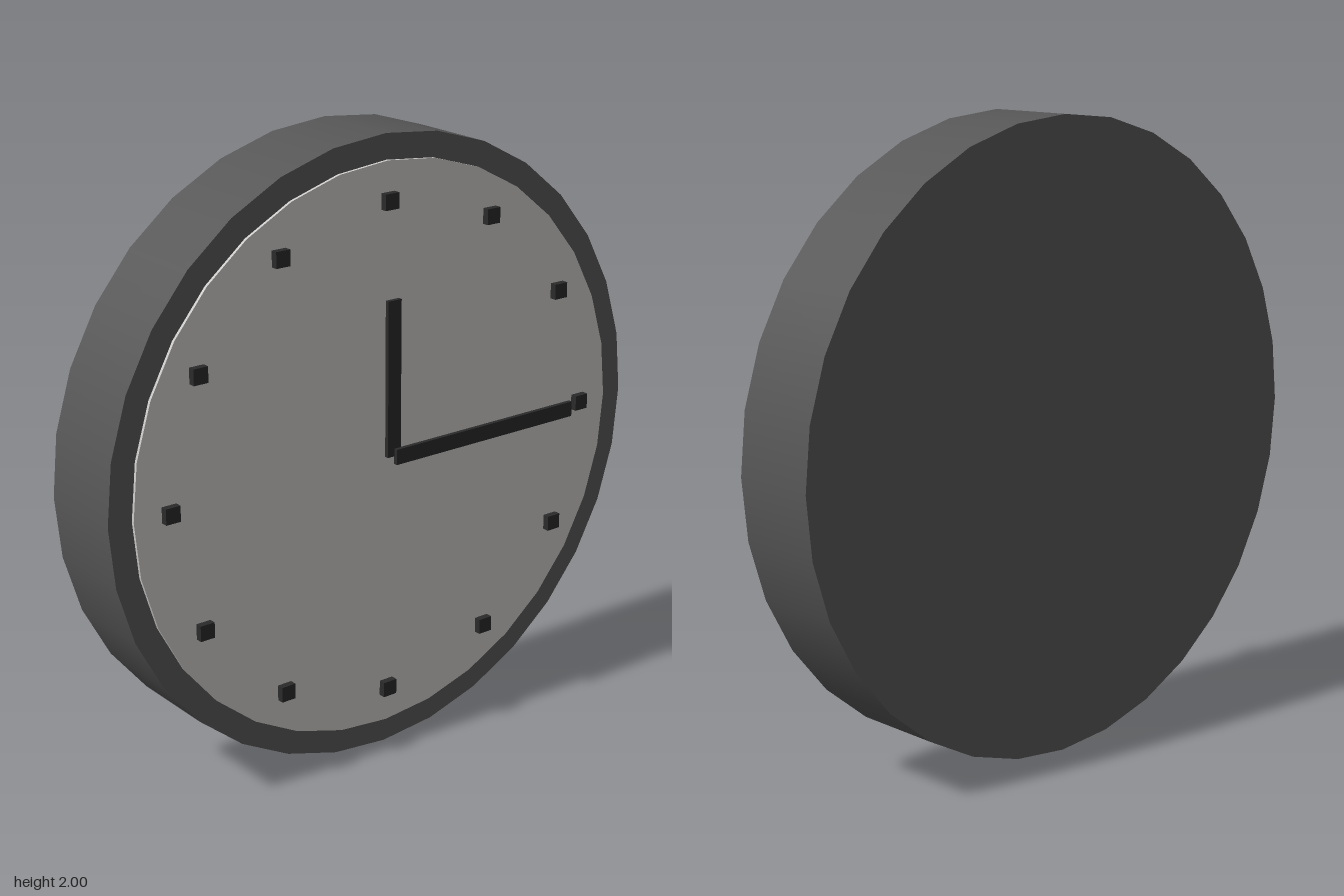
import * as THREE from 'three';

const mat = (name, color) => {
  const m = new THREE.MeshStandardMaterial({ color });
  m.name = name;
  return m;
};

export function createModel() {
  const charcoal = mat('charcoal casing', 0x575757);
  const paleGrey = mat('pale grey dial', 0xcccac8);
  const black = mat('near black', 0x2a2a2a);

  const clock = new THREE.Group();
  clock.name = 'wallClock';

  const add = (name, geometry, material, x, y, z, parent = clock) => {
    const mesh = new THREE.Mesh(geometry, material);
    mesh.name = name;
    mesh.position.set(x, y, z);
    parent.add(mesh);
    return mesh;
  };

  // Disc facing +z, spanning z0 to z1
  const disc = (name, radius, z0, z1, material) => {
    const g = new THREE.CylinderGeometry(radius, radius, z1 - z0, 32);
    g.rotateX(Math.PI / 2);
    add(name, g, material, 0, 1, (z0 + z1) / 2);
  };
  disc('casing', 1, -0.18, 0.12, charcoal);
  disc('dial', 0.92, 0.11, 0.13, paleGrey);

  // Twelve upright hour markers
  const markers = new THREE.Group();
  markers.name = 'hourMarkers';
  clock.add(markers);
  const markerShape = new THREE.BoxGeometry(0.05, 0.05, 0.025);
  for (let i = 0; i < 12; i++) {
    const a = (i * Math.PI) / 6;
    add('hourMarker', markerShape, black, 0.8 * Math.sin(a), 1 + 0.8 * Math.cos(a), 0.14, markers);
  }

  // Hands, one end on the centre, floating just clear of the dial
  add('hourHand', new THREE.BoxGeometry(0.05, 0.5, 0.014), black, 0, 1.25, 0.16);
  add('minuteHand', new THREE.BoxGeometry(0.73, 0.05, 0.014), black, 0.365, 1, 0.173);

  return clock;
}
